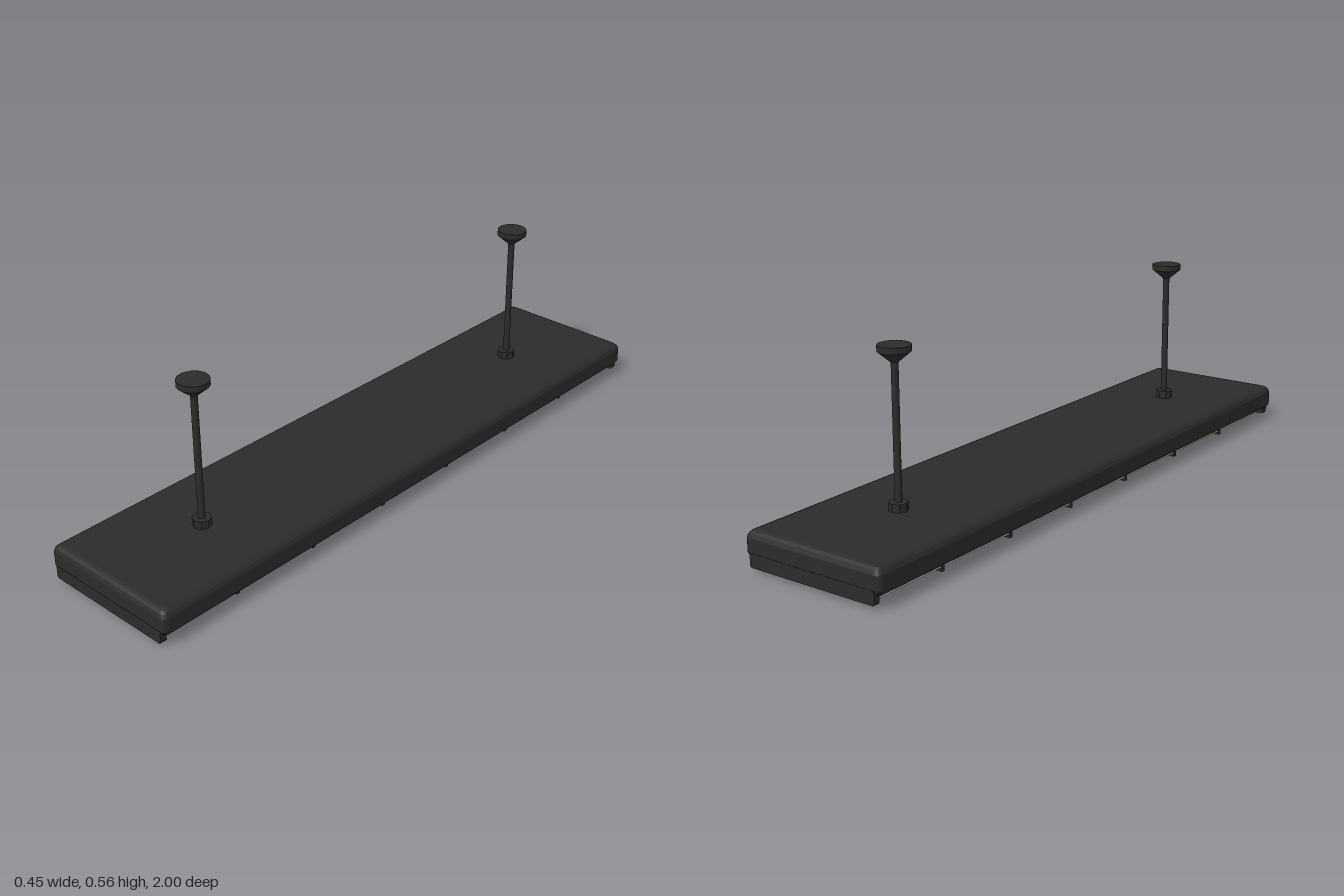
import * as THREE from 'three';

const dark = new THREE.MeshStandardMaterial({ name: 'charcoal metal', color: 0x2b2b2b });
const beige = new THREE.MeshStandardMaterial({ name: 'warm diffuser', color: 0xd2c5ab });

function add(parent, name, geometry, material, x = 0, y = 0, z = 0) {
  const mesh = new THREE.Mesh(geometry, material);
  mesh.name = name;
  mesh.position.set(x, y, z);
  parent.add(mesh);
  return mesh;
}

// Closed solid lofted from rounded rectangles; each ring is [inset, y]
function loftedSlab(halfX, halfZ, radius, rings) {
  const steps = 4, pos = [], index = [];
  const n = 4 * (steps + 1);
  for (const [inset, y] of rings) {
    const r = Math.max(radius - inset * 0.5, 0.004);
    for (let c = 0; c < 4; c++) {
      const sx = c === 0 || c === 3 ? 1 : -1, sz = c < 2 ? 1 : -1;
      for (let s = 0; s <= steps; s++) {
        const a = (c + s / steps) * Math.PI / 2;
        pos.push(sx * (halfX - inset - r) + r * Math.cos(a), y,
          sz * (halfZ - inset - r) + r * Math.sin(a));
      }
    }
  }
  for (let k = 0; k < rings.length - 1; k++) {
    for (let i = 0; i < n; i++) {
      const a = k * n + i, b = k * n + (i + 1) % n;
      index.push(a, a + n, b, b, a + n, b + n);
    }
  }
  const top = (rings.length - 1) * n;
  for (let i = 1; i < n - 1; i++) {
    index.push(0, i, i + 1, top, top + i + 1, top + i);
  }
  const g = new THREE.BufferGeometry();
  g.setAttribute('position', new THREE.Float32BufferAttribute(pos, 3));
  g.setIndex(index);
  const flat = g.toNonIndexed();
  flat.computeVertexNormals();
  return flat;
}

export function createModel() {
  const model = new THREE.Group();
  model.name = 'hangingLightFixture';

  // Long housing with softened edges
  add(model, 'housing', loftedSlab(0.226, 0.998, 0.016, [
    [0.018, 0.03], [0.006, 0.038], [0, 0.048], [0, 0.09], [0.005, 0.101], [0.012, 0.107], [0.02, 0.11],
  ]), dark);

  // Diffuser panel under the housing
  add(model, 'diffuser', new THREE.BoxGeometry(0.37, 0.022, 1.92), beige, 0, 0.022, 0);

  // Cross bars dividing the diffuser into seven bays
  for (let i = 0; i < 6; i++) {
    add(model, 'crossBar', new THREE.BoxGeometry(0.374, 0.032, 0.011), dark, 0, 0.016, (i - 2.5) * 0.286);
  }

  // Lips closing both ends
  const lip = new THREE.Shape([
    [-0.209, 0.05], [-0.209, 0.016], [-0.205, 0.011], [0.205, 0.011], [0.209, 0.016], [0.209, 0.05],
  ].map(([x, y]) => new THREE.Vector2(x, y)));
  const lipGeometry = new THREE.ExtrudeGeometry(lip, { depth: 0.02, bevelEnabled: false });
  for (const z of [0.979, -0.999]) add(model, 'endLip', lipGeometry, dark, 0, 0, z);

  // Two hanging rods with collar and ceiling cup
  const cup = [[0, 0.51], [0.012, 0.51], [0.045, 0.538], [0.045, 0.538], [0.045, 0.555], [0.045, 0.555], [0, 0.555]]
    .map(([r, y]) => new THREE.Vector2(r, y));
  for (const z of [0.666, -0.666]) {
    const hanger = new THREE.Group();
    hanger.name = 'hanger';
    hanger.position.z = z;
    add(hanger, 'rod', new THREE.CylinderGeometry(0.01, 0.01, 0.41, 16), dark, 0, 0.31, 0);
    const collar = new THREE.CylinderGeometry(0.027, 0.027, 0.027, 8).toNonIndexed();
    collar.computeVertexNormals();
    add(hanger, 'collar', collar, dark, 0, 0.12, 0);
    add(hanger, 'ceilingCup', new THREE.LatheGeometry(cup, 24), dark);
    model.add(hanger);
  }
  return model;
}
